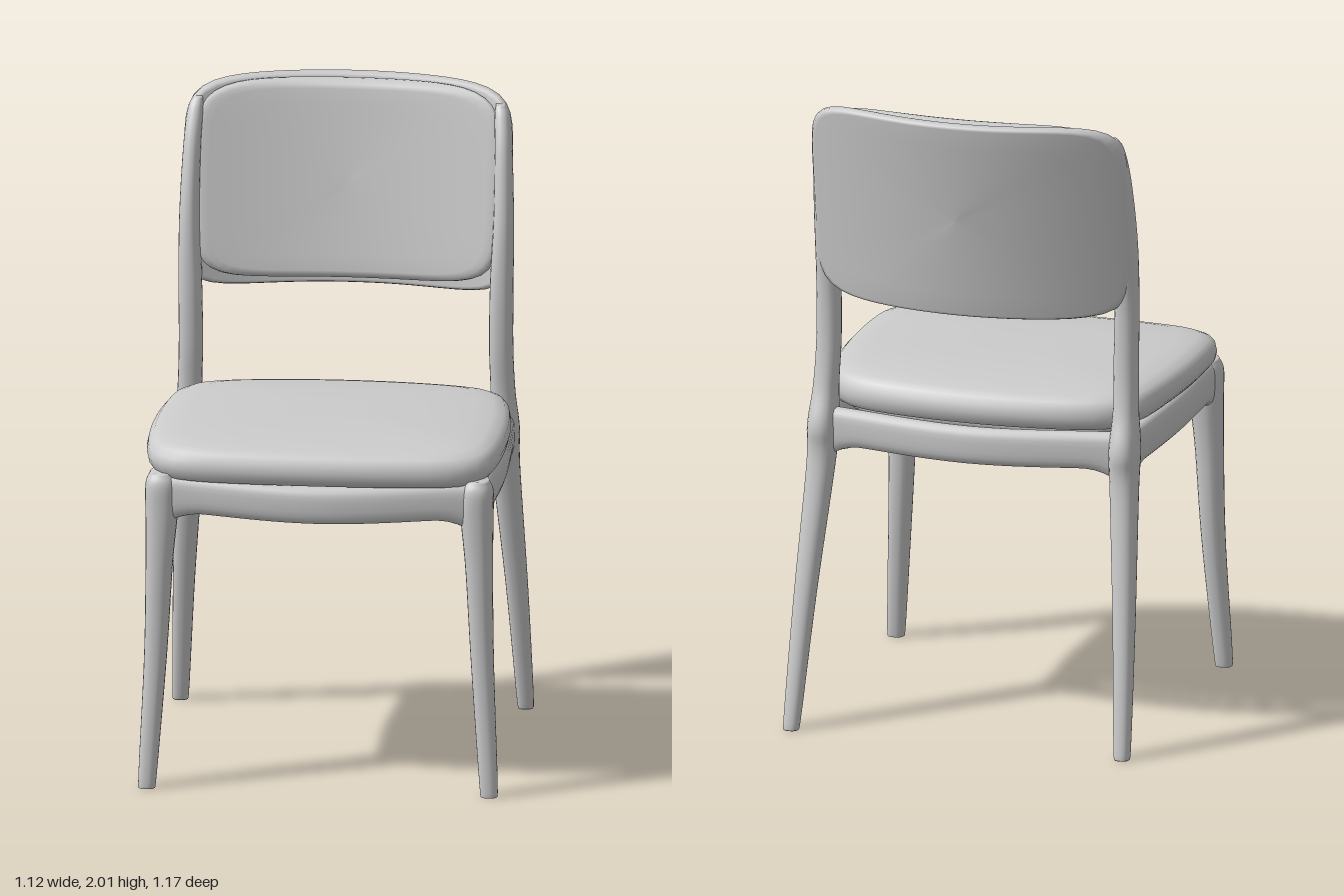
import * as THREE from 'three';

const V = (x, y, z) => new THREE.Vector3(x, y, z);
const material = new THREE.MeshStandardMaterial({ color: 0xcccccc });

// Skin a list of closed rings, close both ends, and make the faces point outward.
function loft(name, rings) {
  const n = rings[0].length, last = (rings.length - 1) * n;
  const mid = (r) => r.reduce((a, p) => a.add(p), V(0, 0, 0)).divideScalar(n);
  const pts = [...rings.flat(), mid(rings[0]), mid(rings[rings.length - 1])];
  const idx = [];
  for (let j = 0; j < n; j++) {
    const k = (j + 1) % n;
    for (let i = 0; i < last; i += n) idx.push(i + j, i + k, i + n + j, i + k, i + n + k, i + n + j);
    idx.push(k, j, last + n, last + j, last + k, last + n + 1);
  }
  let volume = 0;
  const cross = V(0, 0, 0);
  for (let i = 0; i < idx.length; i += 3)
    volume += pts[idx[i]].dot(cross.crossVectors(pts[idx[i + 1]], pts[idx[i + 2]]));
  if (volume < 0) idx.reverse();
  const geo = new THREE.BufferGeometry().setFromPoints(pts);
  geo.setIndex(idx);
  geo.computeVertexNormals();
  const mesh = new THREE.Mesh(geo, material);
  mesh.name = name;
  return mesh;
}

// Points of a rounded square in -1..1; a higher power gives tighter corners.
function roundedSquare(count, power) {
  return Array.from({ length: count }, (_, i) => {
    const a = (i / count) * Math.PI * 2, c = Math.cos(a), s = Math.sin(a);
    const r = (Math.abs(c) ** power + Math.abs(s) ** power) ** (-1 / power);
    return [c * r, s * r];
  });
}

// Soft slab: each layer is [outline scale, depth], mapped into space by place(u, v, depth).
const slab = (name, outline, layers, place) =>
  loft(name, layers.map(([s, d]) => outline.map(([u, v]) => place(u * s, v * s, d))));

// Leg from stations [y, x, z, half width, half depth], smoothly interpolated.
function leg(name, stations, side) {
  const path = new THREE.CatmullRomCurve3(stations.map(([y, x, z]) => V(x * side, y, z)), false, 'catmullrom', 0.5);
  const size = new THREE.CatmullRomCurve3(stations.map((s) => V(s[3], 0, s[4])), false, 'catmullrom', 0.5);
  const section = roundedSquare(24, 2.5), steps = stations.length * 5, rings = [];
  for (let i = 0; i <= steps; i++) {
    const p = path.getPoint(i / steps), r = size.getPoint(i / steps);
    rings.push(section.map(([u, v]) => V(p.x + u * r.x, p.y, p.z + v * r.z)));
  }
  return loft(name, rings);
}

// Bowed seat rail, deepening at its ends to blend into the legs.
function rail(name, points, halfWidth, halfHeight) {
  const path = new THREE.CatmullRomCurve3(points), section = roundedSquare(24, 3.2), rings = [];
  for (let i = 0; i <= 32; i++) {
    const t = i / 32, p = path.getPoint(t), d = path.getTangent(t);
    const side = V(d.z, 0, -d.x).normalize();
    const flare = 0.05 * Math.max(0, (Math.abs(2 * t - 1) - 0.72) / 0.28) ** 2;
    rings.push(section.map(([u, v]) => p.clone().addScaledVector(side, u * halfWidth)
      .add(V(0, v * halfHeight - (v < 0 ? -v * flare : 0), 0))));
  }
  return loft(name, rings);
}

export function createModel() {
  const chair = new THREE.Group();
  chair.name = 'chair';

  // Legs; the rear ones continue upward as the back posts
  const frontLeg = [
    [0, 0.53, 0.535, 0.022, 0.022], [0.02, 0.53, 0.535, 0.028, 0.028], [0.4, 0.508, 0.505, 0.035, 0.043],
    [0.7, 0.497, 0.497, 0.042, 0.052], [0.86, 0.49, 0.492, 0.05, 0.06], [0.95, 0.49, 0.492, 0.05, 0.06],
    [0.99, 0.49, 0.49, 0.035, 0.045],
  ];
  const rearLeg = [
    [0, 0.535, -0.512, 0.02, 0.021], [0.02, 0.535, -0.51, 0.026, 0.028], [0.4, 0.517, -0.435, 0.034, 0.038],
    [0.8, 0.492, -0.353, 0.043, 0.05], [0.93, 0.489, -0.338, 0.046, 0.065], [1.05, 0.486, -0.318, 0.038, 0.048],
    [1.2, 0.482, -0.302, 0.037, 0.044], [1.4, 0.484, -0.3, 0.036, 0.045], [1.6, 0.488, -0.32, 0.031, 0.05],
    [1.8, 0.484, -0.358, 0.027, 0.046], [1.91, 0.477, -0.392, 0.024, 0.036], [1.95, 0.47, -0.405, 0.014, 0.02],
  ];
  for (const [word, side] of [['left', 1], ['right', -1]]) {
    chair.add(leg(word + 'FrontLeg', frontLeg, side));
    chair.add(leg(word + 'RearLegAndPost', rearLeg, side));
    chair.add(rail(word + 'SideRail',
      [V(0.493 * side, 0.926, 0.49), V(0.504 * side, 0.926, 0.1), V(0.486 * side, 0.926, -0.34)], 0.036, 0.062));
  }

  // Front and rear rails
  chair.add(rail('frontRail', [V(-0.49, 0.926, 0.5), V(0, 0.908, 0.547), V(0.49, 0.926, 0.5)], 0.036, 0.058));
  chair.add(rail('rearRail', [V(-0.485, 0.926, -0.335), V(0, 0.915, -0.384), V(0.485, 0.926, -0.335)], 0.031, 0.058));

  // Seat: bowed front and rear edges, widest ahead of the middle
  const placeSeat = (u, v, y) => {
    const front = 0.585 - 0.035 * u * u, back = -0.365 + 0.075 * u * u;
    const width = 0.555 - 0.04 * (v - 0.2) ** 2;
    const drop = 0.022 * Math.abs(v) ** 4;
    return V(u * width, y - drop, back + (front - back) * (v + 1) / 2);
  };
  const seatOutline = roundedSquare(96, 9);
  chair.add(slab('seatCushion', seatOutline, [
    [0.02, 0.985], [0.5, 0.985], [0.9, 0.986], [0.965, 0.992], [0.99, 1.01], [1, 1.035], [0.99, 1.06],
    [0.96, 1.078], [0.9, 1.089], [0.8, 1.095], [0.6, 1.101], [0.4, 1.104], [0.2, 1.106], [0.02, 1.106],
  ], placeSeat));
  chair.add(slab('seatBoard', seatOutline,
    [[0.02, 0.958], [0.5, 0.958], [0.88, 0.96], [0.885, 0.975], [0.88, 0.99], [0.02, 0.99]], placeSeat));

  // Backrest: curved, tilted shell with a padded cushion on its front
  const shellBack = (x, y) => -0.48 - 0.16 * (y - 1.35) + 0.15 * (x / 0.51) ** 2;
  const padFront = (x, y) => -0.33 - 0.22 * (y - 1.4) + 0.06 * (x / 0.46) ** 2;
  chair.add(slab('backShell', roundedSquare(96, 7), [
    [0.02, 0], [0.25, 0], [0.5, 0], [0.75, 0], [0.96, 0], [0.985, 0.004], [1, 0.018],
    [1, 0.036], [0.985, 0.05], [0.96, 0.054], [0.75, 0.054], [0.5, 0.054], [0.25, 0.054], [0.02, 0.054],
  ], (u, v, d) => {
    const x = u * 0.51, y = 1.677 + v * 0.323;
    return V(x, y, shellBack(x, y) + d);
  }));
  chair.add(slab('backCushion', roundedSquare(96, 6), [
    [0.02, 0], [0.5, 0], [0.94, 0], [0.975, 0.2], [0.995, 0.45], [1, 0.65], [0.985, 0.85],
    [0.955, 0.96], [0.91, 1], [0.75, 1], [0.5, 1], [0.25, 1], [0.02, 1],
  ], (u, v, d) => {
    const x = u * 0.472, y = 1.693 + v * 0.302;
    const rear = shellBack(x, y) + 0.04, front = Math.max(padFront(x, y), rear + 0.02);
    return V(x, y, rear + (front - rear) * d);
  }));

  return chair;
}
